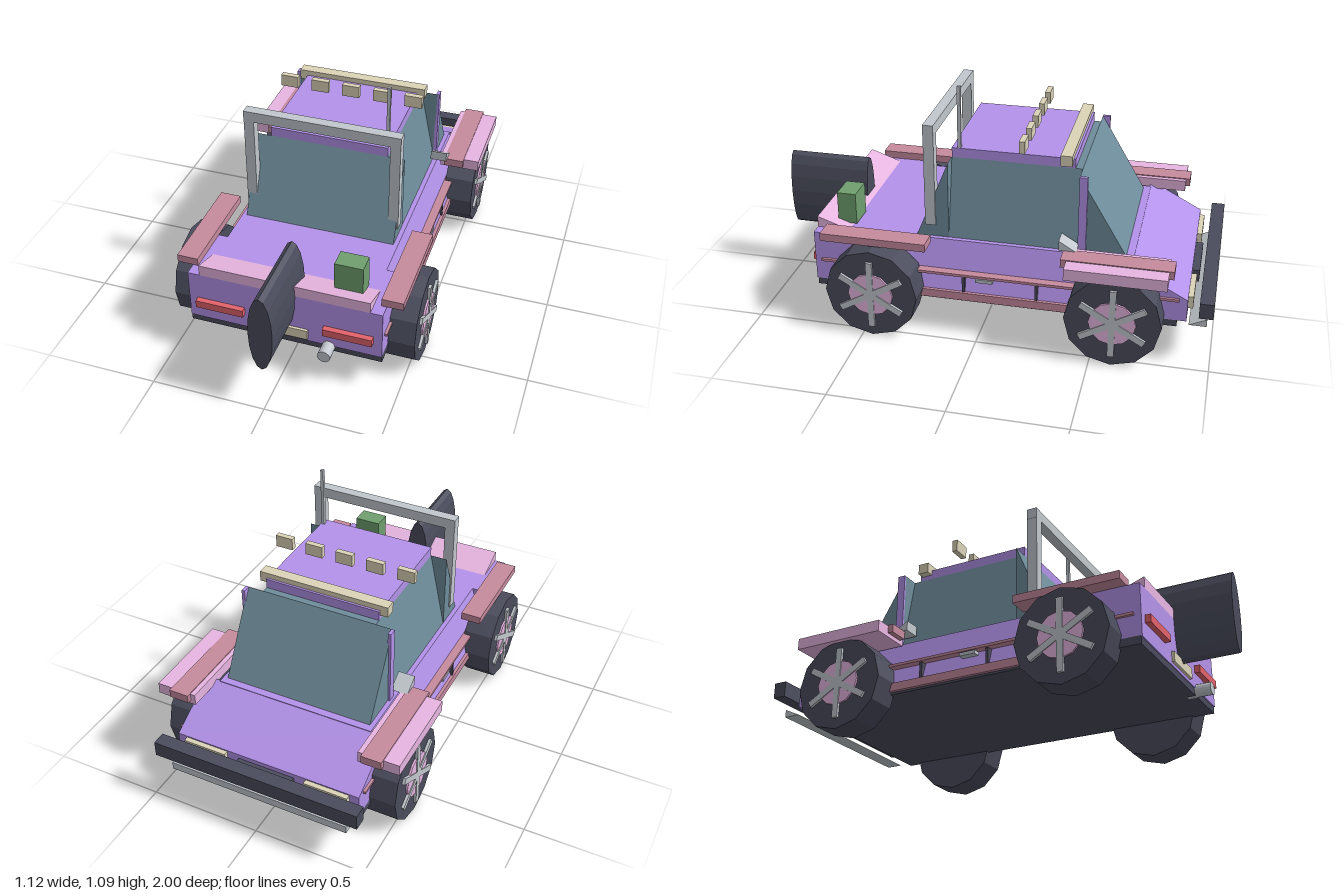
import * as THREE from 'three';

const mat = (color) => new THREE.MeshStandardMaterial({ color, flatShading: true });
const M = {
  body: mat(0xb392ea), glass: mat(0x6f8d9b), dark: mat(0x4a4c5c), pink: mat(0xe8b6e2),
  rose: mat(0xc68b9e), cream: mat(0xdcd4b8), metal: mat(0xc2c8ce), red: mat(0xe2626c),
  green: mat(0x6f9f6e),
};

export function createModel() {
  const root = new THREE.Group();

  const add = (name, geometry, material, parent = root) => {
    const mesh = new THREE.Mesh(geometry, material);
    mesh.name = name;
    parent.add(mesh);
    return mesh;
  };
  // Box given by its limits on each axis
  const box = (name, material, [x0, x1], [y0, y1], [z0, z1]) => {
    const g = new THREE.BoxGeometry(x1 - x0, y1 - y0, z1 - z0);
    g.translate((x0 + x1) / 2, (y0 + y1) / 2, (z0 + z1) / 2);
    return add(name, g, material);
  };
  // Box repeated on the left and right
  const pair = (name, material, [x0, x1], ys, zs) => {
    box(name + 'Left', material, [x0, x1], ys, zs);
    box(name + 'Right', material, [-x1, -x0], ys, zs);
  };
  // Side profile of [z, y] points, extruded across x
  const prism = (name, material, points, width, x = 0) => {
    const shape = new THREE.Shape(points.map(([z, y]) => new THREE.Vector2(z, y)));
    const g = new THREE.ExtrudeGeometry(shape, { depth: width, bevelEnabled: false });
    g.translate(0, 0, -width / 2).rotateY(-Math.PI / 2).translate(x, 0, 0);
    return add(name, g, material);
  };
  // Box whose sides lean in to half width topX
  const tapered = (name, material, bottomX, topX, ys, zs) => {
    const mesh = box(name, material, [-bottomX, bottomX], ys, zs);
    const p = mesh.geometry.attributes.position;
    const mid = (ys[0] + ys[1]) / 2;
    for (let i = 0; i < p.count; i++) if (p.getY(i) > mid) p.setX(i, Math.sign(p.getX(i)) * topX);
    mesh.geometry.computeVertexNormals();
    return mesh;
  };

  // Lower body
  box('chassis', M.dark, [-0.425, 0.425], [0.155, 0.19], [-0.85, 0.74]);
  box('rearBody', M.body, [-0.425, 0.425], [0.185, 0.415], [0.47, 0.745]);
  tapered('middleBody', M.body, 0.43, 0.36, [0.188, 0.415], [-0.65, 0.47]);
  prism('nose', M.body,
    [[-0.645, 0.185], [-0.645, 0.415], [-0.89, 0.285], [-0.89, 0.185]], 0.85);
  prism('tailSpoiler', M.pink, [[0.6, 0.415], [0.745, 0.415], [0.745, 0.465]], 0.745);

  // Cabin
  tapered('cabinSides', M.glass, 0.34, 0.265, [0.41, 0.765], [-0.41, 0.155]);
  prism('windshield', M.glass, [[-0.62, 0.41], [-0.41, 0.41], [-0.41, 0.765]], 0.68);
  prism('rearWindow', M.glass, [[0.155, 0.41], [0.3, 0.41], [0.155, 0.765]], 0.68);
  box('roof', M.body, [-0.265, 0.265], [0.765, 0.808], [-0.38, 0.155]);
  pair('pillar', M.body, [0.335, 0.35], [0.41, 0.765], [-0.445, -0.41]);

  // Roof equipment
  box('lightBar', M.cream, [-0.3, 0.3], [0.785, 0.832], [-0.37, -0.32]);
  for (let i = -2; i <= 2; i++) {
    const x = i * 0.145;
    box('roofLight', M.cream, [x - 0.04, x + 0.04], [0.837, 0.892], [-0.175, -0.15]);
  }
  box('antenna', M.metal, [0.248, 0.262], [0.765, 1.085], [0.115, 0.13]);
  pair('rollBarLeg', M.metal, [0.302, 0.347], [0.47, 0.89], [0.212, 0.258]);
  box('rollBarTop', M.metal, [-0.348, 0.348], [0.887, 0.935], [0.212, 0.258]);

  // Fenders and side details
  pair('rearFender', M.rose, [0.402, 0.495], [0.415, 0.45], [0.22, 0.69]);
  pair('frontFender', M.pink, [0.38, 0.562], [0.397, 0.448], [-0.81, -0.385]);
  pair('frontFenderStrip', M.rose, [0.402, 0.492], [0.415, 0.452], [-0.83, -0.36]);
  pair('rockerPanel', M.rose, [0.4, 0.44], [0.165, 0.202], [-0.6, 0.45]);
  pair('sideTrim', M.rose, [0.39, 0.437], [0.279, 0.291], [-0.855, 0.715]);
  for (const z of [0.07, -0.25]) {
    pair('doorGap', M.dark, [0.4, 0.433], [0.203, 0.275], [z - 0.006, z + 0.006]);
  }
  pair('doorHandle', M.metal, [0.4, 0.438], [0.26, 0.275], [-0.06, 0.015]);
  for (const s of [1, -1]) {
    prism('mirror', M.metal, [[-0.415, 0.45], [-0.34, 0.45], [-0.34, 0.495]], 0.075, s * 0.378);
  }

  // Tail end
  pair('tailLight', M.red, [0.175, 0.388], [0.255, 0.29], [0.74, 0.77]);
  box('rearPlate', M.cream, [-0.105, 0.105], [0.2, 0.247], [0.74, 0.757]);
  box('fuelCan', M.green, [0.195, 0.318], [0.42, 0.563], [0.583, 0.668]);
  const exhaust = add('exhaust', new THREE.CylinderGeometry(0.028, 0.028, 0.11, 16).rotateX(Math.PI / 2), M.metal);
  exhaust.position.set(0.195, 0.18, 0.757);
  const spare = add('spareWheel',
    new THREE.CylinderGeometry(0.185, 0.185, 0.375, 16).rotateX(Math.PI / 2).scale(0.28, 1, 1), M.dark);
  spare.position.set(0, 0.413, 0.8125);

  // Nose end
  pair('headlight', M.cream, [0.185, 0.382], [0.225, 0.28], [-0.912, -0.885]);
  box('grille', M.dark, [-0.13, 0.13], [0.21, 0.265], [-0.922, -0.885]);
  box('frontBumper', M.dark, [-0.47, 0.47], [0.235, 0.305], [-1, -0.94]);
  prism('skidPlate', M.metal, [[-0.975, 0.16], [-0.9, 0.16], [-0.975, 0.195]], 0.82);

  // Wheels with hub and crossed spokes
  const tire = new THREE.CylinderGeometry(0.205, 0.205, 0.135, 12).rotateZ(Math.PI / 2);
  const hub = new THREE.CylinderGeometry(0.1, 0.1, 0.02, 12).rotateZ(Math.PI / 2);
  const spoke = new THREE.BoxGeometry(0.012, 0.315, 0.028);
  for (const s of [1, -1]) {
    for (const z of [0.455, -0.592]) {
      const wheel = new THREE.Group();
      wheel.name = z > 0 ? 'rearWheel' : 'frontWheel';
      wheel.position.set(s * 0.4725, 0.205, z);
      add('tire', tire, M.dark, wheel);
      add('hub', hub, M.pink, wheel).position.x = s * 0.066;
      for (let i = 0; i < 3; i++) {
        const bar = add('spoke', spoke, M.metal, wheel);
        bar.position.x = s * 0.074;
        bar.rotation.x = (i * Math.PI) / 3;
      }
      root.add(wheel);
    }
  }
  return root;
}
